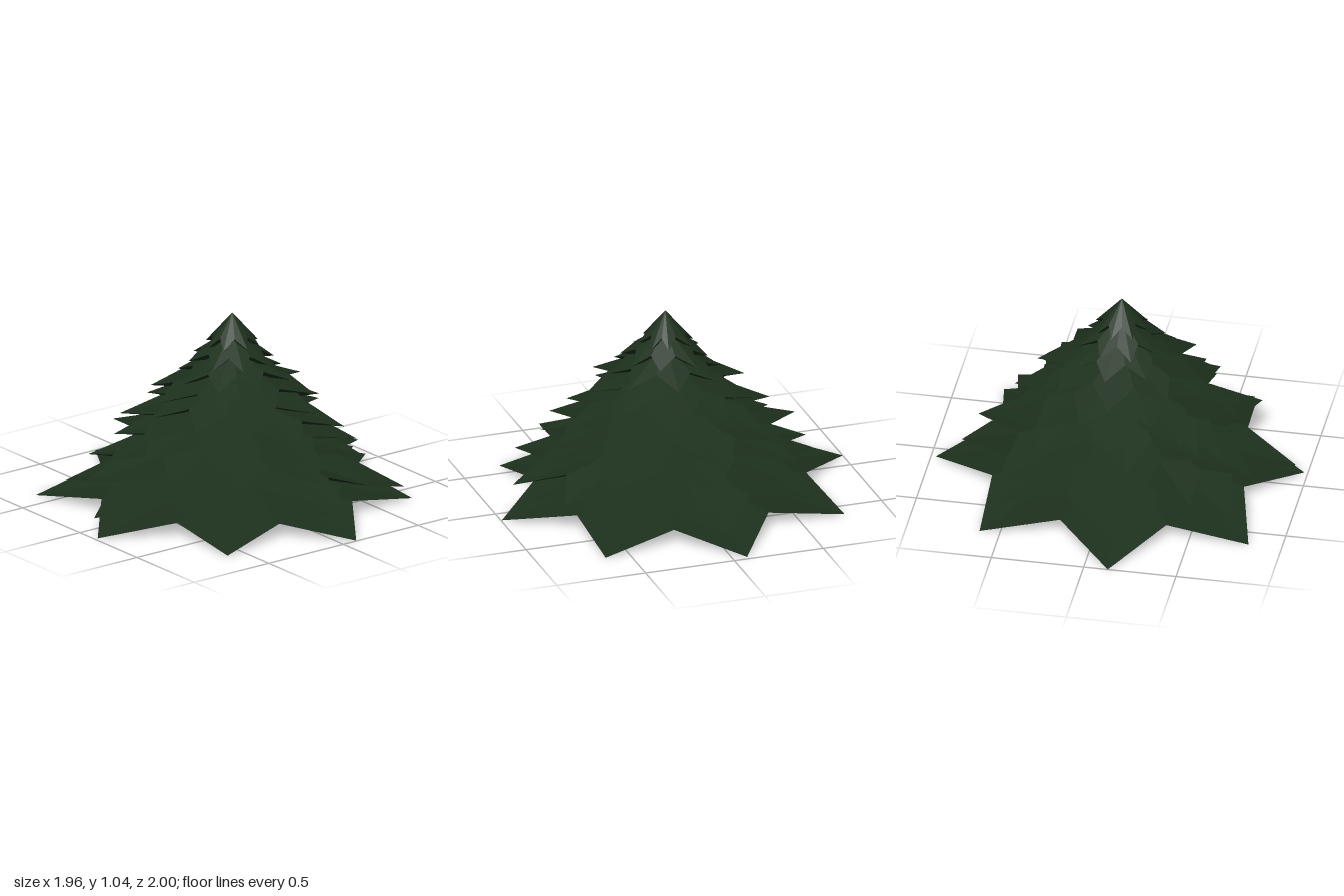
import * as THREE from 'three';

// Centre line of the tree and the even spacing of its tiers
const CX = -0.01, CZ = 0.04;
const POINTS = 8, STEP = 0.087, HEIGHT = 0.172;

// Branch tips [x, z] of the four widest, most uneven tiers
const LOWER_TIPS = [
  [[0.975, -0.08], [0.74, 0.635], [0.09, 0.995], [-0.6, 0.77],
    [-0.98, 0.13], [-0.82, -0.62], [-0.13, -1], [0.61, -0.755]],
  [[0.845, -0.02], [0.67, 0.66], [0.07, 0.85], [-0.61, 0.68],
    [-0.95, 0.06], [-0.7, -0.52], [-0.1, -0.82], [0.58, -0.62]],
  [[0.78, 0.11], [0.38, 0.74], [0.04, 0.915], [-0.68, 0.52],
    [-0.77, -0.24], [-0.5, -0.58], [-0.08, -0.775], [0.55, -0.5]],
  [[0.68, 0], [0.5, 0.52], [0.03, 0.775], [-0.42, 0.6],
    [-0.62, 0.32], [-0.62, -0.25], [-0.2, -0.755], [0.42, -0.55]],
];
// Radius and turn in degrees of each higher tier
const UPPER_TIERS = [
  [0.645, -8], [0.59, 0], [0.475, 14], [0.44, 3], [0.315, 6], [0.235, 22], [0.15, 8],
];

function seeded(seed) {
  return () => {
    seed = (seed * 16807) % 2147483647;
    return seed / 2147483647;
  };
}

function upperTips(radius, turn, random) {
  return Array.from({ length: POINTS }, (_, k) => {
    const a = THREE.MathUtils.degToRad(turn + k * 45 + (random() - 0.5) * 10);
    const r = radius * (0.95 + random() * 0.1);
    return [CX + r * Math.cos(a), CZ + r * Math.sin(a)];
  });
}

// A star-shaped cone: low tips, raised notches, and a folded underside.
// Notches get deeper and less raised towards the top.
function tierGeometry(tips, i) {
  const y = i * STEP, lift = 0.077 - 0.0025 * i, notch = 0.79 - 0.005 * i;
  const rim = [];
  tips.forEach(([x, z], k) => {
    const [nx, nz] = tips[(k + 1) % POINTS];
    const mx = (x + nx) / 2 - CX, mz = (z + nz) / 2 - CZ;
    rim.push([x, y, z], [CX + mx * notch, y + lift, CZ + mz * notch]);
  });
  const apex = [CX, y + HEIGHT, CZ], hub = [CX, y, CZ];
  const positions = [];
  rim.forEach((a, k) => {
    const b = rim[(k + 1) % rim.length];
    positions.push(...apex, ...b, ...a, ...hub, ...a, ...b);
  });
  const geometry = new THREE.BufferGeometry();
  geometry.setAttribute('position', new THREE.Float32BufferAttribute(positions, 3));
  geometry.computeVertexNormals();
  return geometry;
}

export function createModel() {
  const tree = new THREE.Group();
  tree.name = 'coniferTree';
  const foliage = new THREE.MeshStandardMaterial({ color: 0x1d301d, flatShading: true });
  foliage.name = 'dark pine green';
  const random = seeded(41);

  // Foliage tiers, widest at the ground
  const upper = UPPER_TIERS.map(([radius, turn]) => upperTips(radius, turn, random));
  [...LOWER_TIPS, ...upper].forEach((tips, i) => {
    const tier = new THREE.Mesh(tierGeometry(tips, i), foliage);
    tier.name = `foliageTier${i + 1}`;
    tree.add(tier);
  });
  return tree;
}
